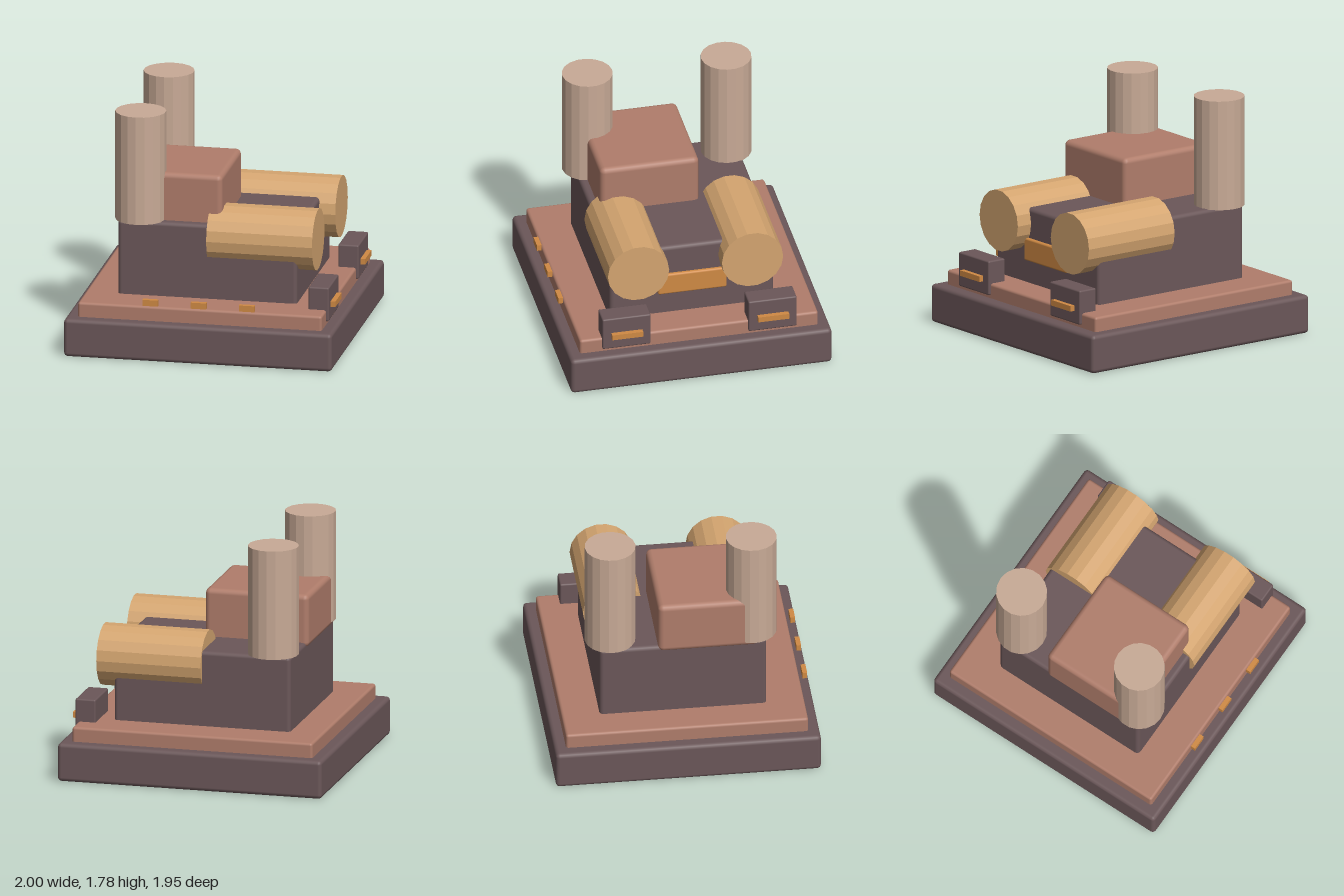
import * as THREE from 'three';
import { RoundedBoxGeometry } from 'three/addons/geometries/RoundedBoxGeometry.js';

function material(name, color, flatShading = false) {
  const m = new THREE.MeshStandardMaterial({ color, flatShading });
  m.name = name;
  return m;
}

export function createModel() {
  const group = new THREE.Group();
  const dark = material('dark iron', 0x6b5759);
  const copper = material('copper', 0xb07d6b);
  const brass = material('brass', 0xd4a570, true);
  const pale = material('pale stone', 0xc8aa96, true);
  const glow = material('orange glow', 0xd08a44);

  function add(name, geometry, mat, x, y, z) {
    const mesh = new THREE.Mesh(geometry, mat);
    mesh.name = name;
    mesh.position.set(x, y, z);
    group.add(mesh);
    return mesh;
  }

  // Rounded block given by its extents on each axis
  function block(name, mat, [x0, x1], [y0, y1], [z0, z1], radius) {
    const geometry = new RoundedBoxGeometry(x1 - x0, y1 - y0, z1 - z0, 2, radius);
    return add(name, geometry, mat, (x0 + x1) / 2, (y0 + y1) / 2, (z0 + z1) / 2);
  }

  // Stepped foundation, main body and upper block
  block('base', dark, [-1, 1], [0, 0.287], [-0.977, 0.977], 0.03);
  block('deck', copper, [-0.91, 0.91], [0.25, 0.397], [-0.893, 0.893], 0.02);
  block('body', dark, [-0.668, 0.668], [0.36, 0.96], [-0.615, 0.615], 0.03);
  block('upperBlock', copper, [-0.687, 0.097], [0.92, 1.32], [-0.184, 0.557], 0.04);

  // Glowing panel on the right-hand end of the body
  block('endPanel', glow, [0.62, 0.692], [0.565, 0.735], [-0.258, 0.258], 0.015);

  for (const side of [1, -1]) {
    // Upright chimney and horizontal tank
    add('chimney', new THREE.CylinderGeometry(0.187, 0.187, 0.82, 18), pale, -0.515, 1.366, side * 0.52);
    const tank = add('tank', new THREE.CylinderGeometry(0.23, 0.23, 0.79, 18), brass, 0.395, 0.843, side * 0.427);
    tank.rotation.z = -Math.PI / 2;

    // Low housing with a glowing slot
    const z = side * 0.547;
    block('housing', dark, [0.777, 0.93], [0.31, 0.567], [z - 0.181, z + 0.181], 0.012);
    add('housingSlot', new THREE.BoxGeometry(0.06, 0.042, 0.232), glow, 0.936, 0.426, z);
  }

  // Row of small lamps along the front
  for (const x of [-0.36, 0, 0.36]) {
    add('frontLamp', new THREE.BoxGeometry(0.115, 0.046, 0.035), glow, x, 0.438, 0.927);
  }

  return group;
}
